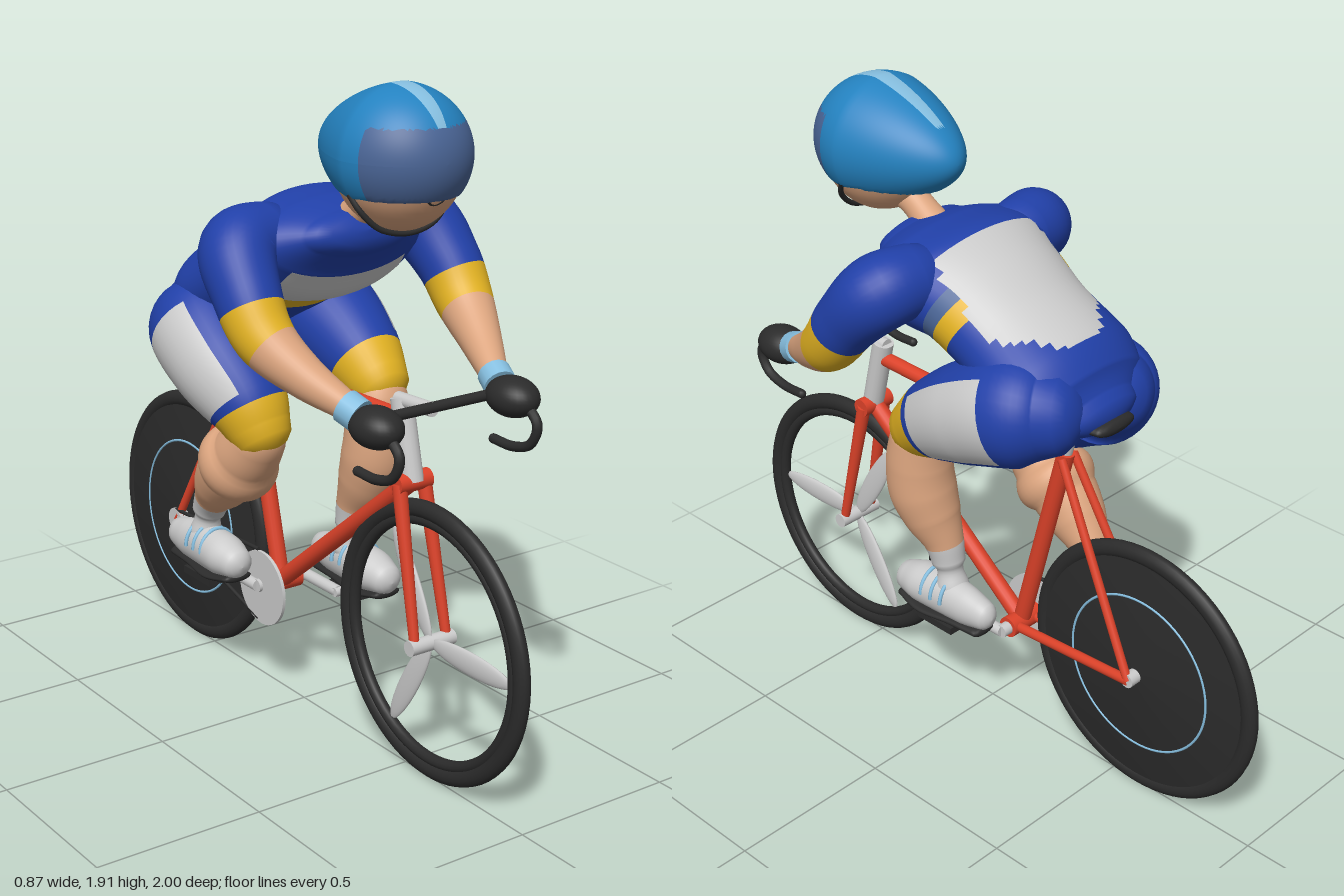
import * as THREE from 'three';

const V = (x, y, z) => new THREE.Vector3(x, y, z);
const mat = (name, color, side = THREE.FrontSide) => {
  const m = new THREE.MeshStandardMaterial({ color, side });
  m.name = name;
  return m;
};

export function createModel() {
  const blue = mat('jersey blue', 0x2140a8), yellow = mat('yellow', 0xe2b222);
  const grey = mat('light grey', 0xcbcbcb), skin = mat('skin', 0xdca57f);
  const black = mat('black', 0x2b2b2b), red = mat('frame red', 0xdc4229);
  const helmetBlue = mat('helmet blue', 0x2482c0), pale = mat('pale blue', 0x86bfe0);
  const steel = mat('visor blue', 0x4a6596);

  const root = new THREE.Group();
  root.name = 'racing cyclist';
  const group = (name, parent = root) => {
    const g = new THREE.Group();
    g.name = name;
    parent.add(g);
    return g;
  };
  const add = (parent, name, geo, material, x = 0, y = 0, z = 0) => {
    const m = new THREE.Mesh(geo, material);
    m.name = name;
    m.position.set(x, y, z);
    parent.add(m);
    return m;
  };

  // Sorts faces into one material group per colour
  function setFaces(geo, faces, count) {
    const index = [];
    for (let k = 0; k < count; k++) {
      const list = faces.filter(f => f[3] === k);
      geo.addGroup(index.length, list.length * 3, k);
      list.forEach(f => index.push(f[0], f[1], f[2]));
    }
    geo.setIndex(index);
  }

  // Smooth body through sections [x, y, z, halfWidth, halfDepth] with rounded ends.
  // pick(t, angle, point) returns the material number of a face.
  function loft(sections, mats = 1, pick = () => 0, ref = V(1, 0, 0), cap = 0.8, n = 36, steps = 8) {
    const path = new THREE.CatmullRomCurve3(sections.map(s => V(s[0], s[1], s[2])));
    const size = new THREE.CatmullRomCurve3(sections.map(s => V(s[3], s[4] ?? s[3], 0)));
    const segs = sections.length - 1, total = segs * steps, rings = [];
    const ring = (u, scale, off) => rings.push({ u, scale, off });
    const caps = [0.005, 0.35, 0.65, 0.88];
    caps.forEach(s => ring(0, s, -Math.sqrt(1 - s * s)));
    for (let i = 0; i <= total; i++) ring(i / total, 1, 0);
    [...caps].reverse().forEach(s => ring(1, s, Math.sqrt(1 - s * s)));
    const pts = [], faces = [];
    for (const { u, scale, off } of rings) {
      const T = path.getTangent(u), r = size.getPoint(u);
      const c = path.getPoint(u).addScaledVector(T, off * r.y * cap);
      const side = ref.clone().addScaledVector(T, -ref.dot(T)).normalize();
      const up = T.clone().cross(side);
      for (let j = 0; j < n; j++) {
        const a = j / n * Math.PI * 2;
        pts.push(c.clone().addScaledVector(side, Math.cos(a) * r.x * scale).addScaledVector(up, Math.sin(a) * r.y * scale));
      }
    }
    for (let i = 0; i < rings.length - 1; i++) for (let j = 0; j < n; j++) {
      const a = i * n + j, b = i * n + (j + 1) % n, c = b + n, d = a + n;
      const mid = pts[a].clone().add(pts[c]).multiplyScalar(0.5);
      const k = pick((rings[i].u + rings[i + 1].u) / 2 * segs, (j + 0.5) / n * Math.PI * 2, mid);
      faces.push([a, b, c, k], [a, c, d, k]);
    }
    const geo = new THREE.BufferGeometry().setFromPoints(pts);
    setFaces(geo, faces, mats);
    geo.computeVertexNormals();
    if (mats === 1) geo.clearGroups();
    return geo;
  }

  // Straight tube between two points
  function bar(parent, name, a, b, r, material, r2 = r) {
    const d = b.clone().sub(a);
    const m = add(parent, name, new THREE.CylinderGeometry(r2, r, d.length(), 16), material);
    m.position.copy(a).addScaledVector(d, 0.5);
    m.quaternion.setFromUnitVectors(V(0, 1, 0), d.normalize());
    return m;
  }
  const pipe = (pts, r) => new THREE.TubeGeometry(new THREE.CatmullRomCurve3(pts.map(p => V(...p))), 32, r, 10);
  const axle = (parent, name, r, len, material, x, y, z) =>
    add(parent, name, new THREE.CylinderGeometry(r, r, len, 40).rotateZ(Math.PI / 2), material, x, y, z);

  // ---- Bicycle ----
  const bike = group('bicycle');
  const hubY = 0.41, crank = V(0, 0.35, -0.12), seatTop = V(0, 1.0, -0.285), crown = V(0, 0.85, 0.505);

  for (const [name, z] of [['frontWheel', 0.6], ['rearWheel', -0.595]]) {
    const w = group(name, bike);
    w.position.set(0, hubY, z);
    const tyre = add(w, 'tyre', new THREE.TorusGeometry(0.378, 0.026, 14, 72).rotateY(Math.PI / 2), black);
    tyre.scale.x = 0.85;
    add(w, 'rim', new THREE.TorusGeometry(0.348, 0.017, 12, 72).rotateY(Math.PI / 2), black);
    axle(w, 'hub', 0.022, 0.15, grey, 0, 0, 0);
    if (z > 0) for (let i = 0; i < 3; i++) {
      // flat blade spokes
      const arm = group('bladeSpoke', w);
      arm.rotation.x = i * Math.PI * 2 / 3;
      add(arm, 'blade', new THREE.SphereGeometry(1, 20, 14).scale(0.012, 0.035, 0.17), grey, 0, 0, 0.17);
    } else {
      const profile = [[0.0001, -0.04], [0.36, -0.02], [0.36, 0.02], [0.0001, 0.04]].map(p => new THREE.Vector2(...p));
      add(w, 'disc', new THREE.LatheGeometry(profile, 64).rotateZ(Math.PI / 2), mat('black', 0x2b2b2b, THREE.DoubleSide)).material = black;
      for (const s of [-1, 1])
        add(w, 'discRing', new THREE.TorusGeometry(0.246, 0.004, 8, 72).rotateY(Math.PI / 2), pale, s * 0.0255, 0, 0);
    }
  }

  bar(bike, 'seatTube', crank, seatTop, 0.026, red);
  bar(bike, 'topTube', V(0, 1.02, 0.45), seatTop, 0.022, red);
  bar(bike, 'downTube', crown, crank, 0.026, red);
  bar(bike, 'headTube', V(0, 0.85, 0.508), V(0, 1.075, 0.455), 0.032, grey);
  axle(bike, 'bottomBracket', 0.032, 0.12, red, 0, crank.y, crank.z);
  axle(bike, 'forkCrown', 0.028, 0.11, red, 0, crown.y, crown.z);
  for (const s of [-1, 1]) {
    bar(bike, 'forkBlade', V(s * 0.042, 0.85, 0.505), V(s * 0.055, hubY, 0.6), 0.021, red, 0.014);
    bar(bike, 'seatStay', V(s * 0.025, 0.99, -0.29), V(s * 0.07, hubY, -0.595), 0.013, red);
    bar(bike, 'chainStay', V(s * 0.035, 0.35, -0.13), V(s * 0.07, hubY, -0.595), 0.015, red);
    add(bike, 'dropBar', pipe([[s * 0.23, 1.08, 0.585], [s * 0.23, 1.075, 0.69], [s * 0.23, 1.03, 0.745],
      [s * 0.23, 0.97, 0.72], [s * 0.23, 0.945, 0.65], [s * 0.23, 0.945, 0.57]], 0.014), black);
    add(bike, 'barEnd', new THREE.SphereGeometry(0.014, 12, 8), black, s * 0.23, 0.945, 0.57);
    // crank arm and pedal, half a turn apart
    const pz = s > 0 ? 0.055 : -0.29;
    bar(bike, 'crankArm', V(s * 0.085, 0.35, crank.z), V(s * 0.085, 0.35, pz), 0.018, grey);
    axle(bike, 'pedalAxle', 0.014, 0.1, grey, s * 0.12, 0.35, pz);
    add(bike, 'pedal', new THREE.BoxGeometry(0.1, 0.022, 0.14), black, s * 0.145, 0.35, pz);
    bar(bike, 'chain', V(-0.075, 0.35 + s * 0.112, -0.13), V(-0.075, hubY + s * 0.035, -0.595), 0.006, black);
  }
  axle(bike, 'crankAxle', 0.02, 0.18, grey, 0, crank.y, crank.z);
  axle(bike, 'chainring', 0.115, 0.01, grey, -0.075, 0.345, -0.11);
  axle(bike, 'sprocket', 0.038, 0.012, grey, -0.075, hubY, -0.595);
  axle(bike, 'handlebar', 0.015, 0.46, black, 0, 1.08, 0.585);
  bar(bike, 'stem', V(0, 1.068, 0.44), V(0, 1.075, 0.59), 0.02, grey);
  bar(bike, 'seatPost', seatTop, V(0, 1.14, -0.325), 0.018, grey);
  add(bike, 'saddle', loft([[0, 1.155, -0.46, 0.075, 0.022], [0, 1.155, -0.4, 0.085, 0.025],
    [0, 1.15, -0.3, 0.045, 0.025], [0, 1.15, -0.18, 0.025, 0.02]]), black);

  // ---- Rider ----
  const rider = group('rider');
  const torso = [[0, 1.18, -0.4, 0.14, 0.07], [0, 1.2, -0.35, 0.22, 0.12], [0, 1.25, -0.26, 0.25, 0.15],
    [0, 1.33, -0.12, 0.235, 0.15], [0, 1.4, 0, 0.25, 0.155], [0, 1.44, 0.1, 0.29, 0.16],
    [0, 1.475, 0.19, 0.27, 0.115], [0, 1.495, 0.26, 0.18, 0.065]];
  add(rider, 'torso', loft(torso, 4, (t, a, p) => {
    const s = Math.sin(a), mid = Math.abs(p.x) < 0.2;
    if (s > 0.35 && mid && t > 1.9 && t < 4.8) return Math.abs(p.x) < 0.06 + (t - 1.9) * 0.16 ? 1 : 0; // back panel
    if (s < 0.6 && t > 3.4 && t < 3.8) return 2; // side bands
    if (s < 0.6 && t >= 3.8 && t < 4.1) return mid && s < 0 ? 2 : 3;
    return s < -0.3 && mid && t >= 4.1 && t < 6 ? 1 : 0; // belly panel
  }, V(1, 0, 0), 0.8, 48, 10), [blue, grey, yellow, steel]);
  add(rider, 'neck', loft([[0, 1.6, 0.34, 0.05], [0, 1.57, 0.29, 0.045], [0, 1.5, 0.2, 0.06]]), skin);

  for (const s of [-1, 1]) {
    const arm = group(s > 0 ? 'leftArm' : 'rightArm', rider);
    add(arm, 'sleeveAndForearm', loft([[s * 0.2, 1.475, 0.1, 0.1], [s * 0.305, 1.46, 0.13, 0.108], [s * 0.34, 1.36, 0.22, 0.094],
      [s * 0.338, 1.26, 0.3, 0.083], [s * 0.3, 1.18, 0.42, 0.06], [s * 0.24, 1.11, 0.56, 0.036]], 3,
      t => t < 2.4 ? 0 : t < 3.25 ? 1 : 2, V(0, 1, 1)), [blue, yellow, skin]);
    bar(arm, 'cuff', V(s * 0.25, 1.12, 0.54), V(s * 0.236, 1.1, 0.585), 0.047, pale);
    add(arm, 'glove', new THREE.SphereGeometry(1, 28, 20).scale(0.066, 0.056, 0.085), black, s * 0.228, 1.085, 0.645);
  }

  // Left leg forward and high, right leg back and low
  const legs = [
    { s: 1, name: 'leftLeg', footZ: 0,
      thigh: [[0.13, 1.2, -0.33, 0.13], [0.165, 1.19, -0.25, 0.162], [0.18, 1.13, -0.1, 0.15], [0.182, 1.06, 0.03, 0.122], [0.18, 1.0, 0.115, 0.092]],
      calf: [[0.175, 0.97, 0.12, 0.085], [0.17, 0.88, 0.13, 0.097], [0.165, 0.79, 0.125, 0.1], [0.155, 0.7, 0.095, 0.086],
        [0.145, 0.62, 0.06, 0.06], [0.14, 0.55, 0.045, 0.05], [0.14, 0.47, 0.03, 0.05]] },
    { s: -1, name: 'rightLeg', footZ: -0.35,
      thigh: [[-0.13, 1.16, -0.33, 0.125], [-0.168, 1.13, -0.27, 0.16], [-0.18, 1.05, -0.15, 0.148], [-0.168, 0.96, -0.04, 0.12], [-0.16, 0.89, 0.01, 0.093]],
      calf: [[-0.16, 0.87, 0, 0.085], [-0.163, 0.8, -0.06, 0.1], [-0.16, 0.73, -0.14, 0.1], [-0.155, 0.67, -0.2, 0.086],
        [-0.145, 0.61, -0.26, 0.06], [-0.14, 0.55, -0.3, 0.05], [-0.14, 0.47, -0.32, 0.05]] }];
  for (const { s, name, footZ, thigh, calf } of legs) {
    const leg = group(name, rider);
    add(leg, 'thigh', loft(thigh, 3, (t, a) => t > 3.2 ? 2 : s * Math.cos(a) > 0.62 && t > 1.1 && t < 3 ? 1 : 0), [blue, grey, yellow]);
    add(leg, 'calfAndSock', loft(calf, 2, t => t > 4.15 ? 1 : 0), [skin, grey]);
    const foot = group('foot', leg);
    foot.position.set(s * 0.145, 0, footZ);
    add(foot, 'shoe', loft([[0, 0.43, -0.1, 0.042, 0.048], [0, 0.432, -0.04, 0.052, 0.062], [0, 0.436, 0.05, 0.059, 0.068],
      [0, 0.434, 0.14, 0.065, 0.064], [0, 0.428, 0.2, 0.052, 0.05]]), grey);
    add(foot, 'sole', loft([[0, 0.376, -0.1, 0.042, 0.016], [0, 0.376, 0, 0.05, 0.016], [0, 0.372, 0.12, 0.064, 0.016],
      [0, 0.384, 0.21, 0.048, 0.014]]), black);
    for (const z of [0.02, 0.06, 0.1])
      add(foot, 'strap', new THREE.TorusGeometry(0.06, 0.006, 8, 24, Math.PI).scale(1, 1.12, 1), pale, 0, 0.437, z);
  }

  // ---- Head ----
  const head = group('head', rider);
  add(head, 'face', new THREE.SphereGeometry(1, 40, 28).scale(0.175, 0.19, 0.178), skin, 0, 1.72, 0.43);
  add(head, 'mouth', new THREE.TorusGeometry(0.03, 0.004, 6, 16, Math.PI * 0.7).rotateZ(Math.PI * 1.15).rotateX(0.5), black, 0, 1.65, 0.594);
  add(head, 'chinStrap', pipe([[-0.162, 1.645, 0.43], [-0.143, 1.6, 0.455], [-0.09, 1.55, 0.47], [0, 1.53, 0.475],
    [0.09, 1.55, 0.47], [0.143, 1.6, 0.455], [0.162, 1.645, 0.43]], 0.008), black);

  // Teardrop helmet with flat underside, visor and centre stripe
  const shell = new THREE.SphereGeometry(1, 88, 56).rotateX(Math.PI / 2);
  const pos = shell.attributes.position, stripe = [];
  for (let i = 0; i < pos.count; i++) {
    const x = pos.getX(i), y = pos.getY(i), z = pos.getZ(i), taper = z < 0 ? 1 + 0.3 * z : 1;
    stripe.push(y > 0 && Math.abs(x) < y * 0.15);
    pos.setXYZ(i, x * 0.192 * taper, 1.735 + Math.max(y * 0.186 * taper, -0.1), 0.425 + z * (z < 0 ? 0.295 : 0.207));
  }
  const faces = [], id = shell.index.array;
  for (let i = 0; i < id.length; i += 3) {
    const f = [id[i], id[i + 1], id[i + 2]];
    const y = f.reduce((v, k) => v + pos.getY(k) / 3, 0), z = f.reduce((v, k) => v + pos.getZ(k) / 3, 0);
    faces.push([...f, z > 0.49 && y < 1.825 ? 1 : z > 0.2 && f.every(k => stripe[k]) ? 2 : 0]);
  }
  setFaces(shell, faces, 3);
  shell.computeVertexNormals();
  add(head, 'helmet', shell, [helmetBlue, steel, pale]);

  return root;
}
